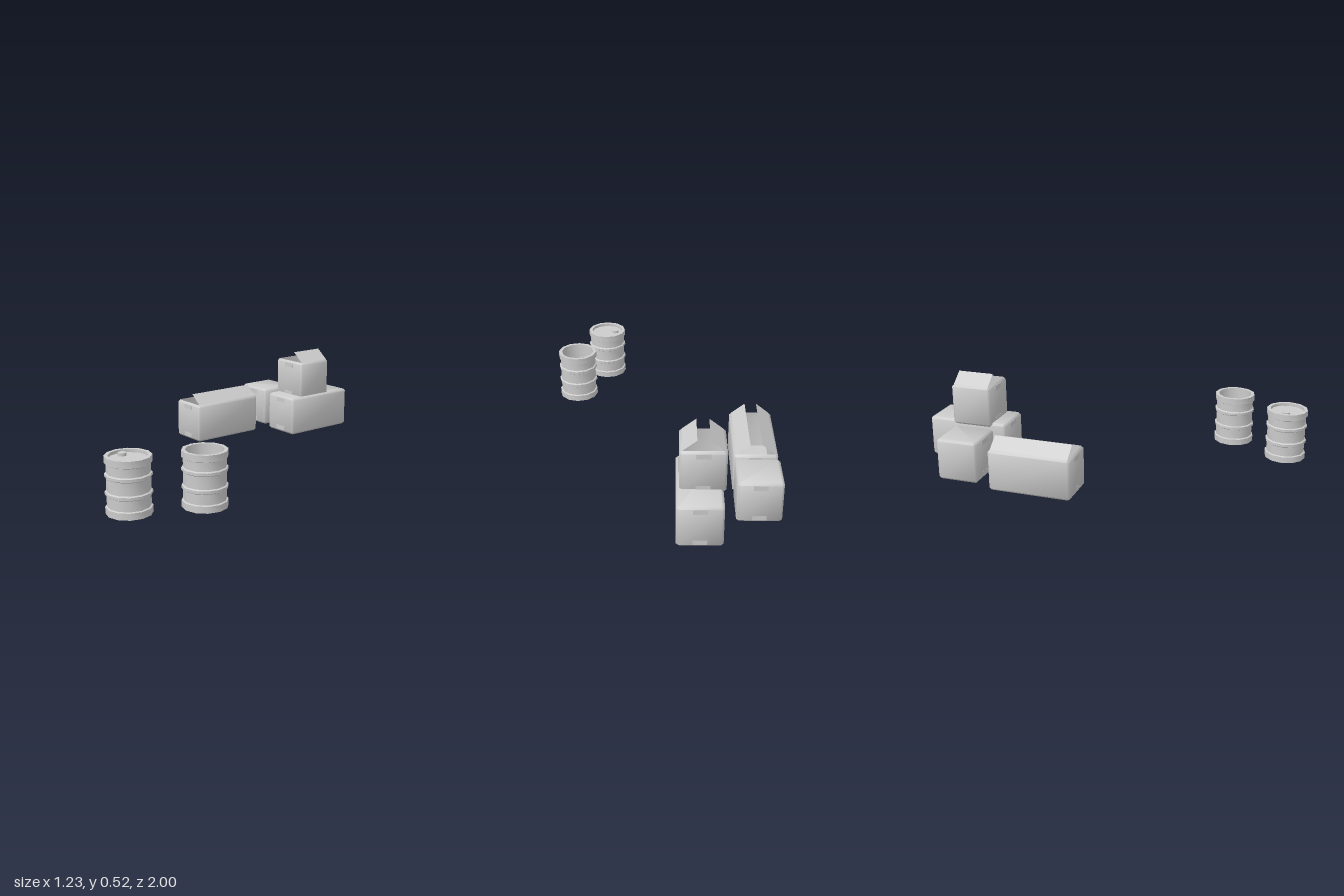
import * as THREE from 'three';
import { toCreasedNormals } from 'three/addons/utils/BufferGeometryUtils.js';

const material = new THREE.MeshStandardMaterial({ color: 0xcccccc });
const CHAMFER = 0.012;
const WIDTH = 0.226;

function addMesh(parent, name, geometry, x = 0, y = 0, z = 0) {
  const mesh = new THREE.Mesh(geometry, material);
  mesh.name = name;
  mesh.position.set(x, y, z);
  parent.add(mesh);
  return mesh;
}

// Skins a stack of chamfered rectangles [inset, y] and caps both ends.
function loftBox(width, depth, rings) {
  const positions = [];
  const indices = [];
  const n = 8;
  for (const [inset, y] of rings) {
    const w = width / 2 - inset;
    const d = depth / 2 - inset;
    const c = inset > 0 ? 0.003 : CHAMFER;
    const outline = [
      [-w + c, d], [w - c, d], [w, d - c], [w, -d + c],
      [w - c, -d], [-w + c, -d], [-w, -d + c], [-w, d - c],
    ];
    for (const [x, z] of outline) positions.push(x, y, z);
  }
  for (let i = 0; i < rings.length - 1; i++) {
    for (let j = 0; j < n; j++) {
      const a = i * n + j;
      const b = i * n + (j + 1) % n;
      indices.push(a, b, b + n, a, b + n, a + n);
    }
  }
  const last = (rings.length - 1) * n;
  for (let j = 1; j < n - 1; j++) {
    indices.push(0, j + 1, j);
    indices.push(last, last + j, last + j + 1);
  }
  const geometry = new THREE.BufferGeometry();
  geometry.setAttribute('position', new THREE.Float32BufferAttribute(positions, 3));
  geometry.setIndex(indices);
  return toCreasedNormals(geometry, 0.9);
}

// Cardboard box; an open one gets a hollow inside and two leaning flaps.
function createBox(name, { x, y, z, height, depth, open = false }) {
  const box = new THREE.Group();
  box.name = name;
  box.position.set(x, y, z);

  const rings = [[CHAMFER, 0], [0, CHAMFER], [0, height - CHAMFER], [CHAMFER, height]];
  if (open) rings.push([CHAMFER + 0.001, CHAMFER]);
  addMesh(box, 'boxBody', loftBox(WIDTH, depth, rings));

  // Tape ends folded over the front and back
  for (const side of [-1, 1]) {
    for (const tapeY of [0.026, height - 0.026]) {
      addMesh(box, 'tapeEnd', new THREE.BoxGeometry(0.07, 0.026, 0.002), 0, tapeY, side * depth / 2);
    }
  }

  if (open) {
    const run = 0.07;
    const rise = 0.056;
    const length = Math.hypot(run, rise);
    for (const side of [-1, 1]) {
      const flap = new THREE.PlaneGeometry(depth - 2 * CHAMFER, length);
      flap.translate(0, length / 2, 0);
      flap.rotateX(-Math.atan2(run, rise));
      flap.rotateY(side * Math.PI / 2);
      addMesh(box, side > 0 ? 'leftFlap' : 'rightFlap', flap, side * (WIDTH / 2 - CHAMFER), height, 0);
    }
  }
  return box;
}

// Ribbed drum, either open or closed with a recessed lid and a bung.
function createBarrel(name, { x, y, z, open }) {
  const barrel = new THREE.Group();
  barrel.name = name;
  barrel.position.set(x, y, z);

  const wide = 0.114;
  const body = 0.106;
  const inner = 0.095;
  const top = 0.285;
  const floor = open ? 0.015 : top - 0.016;
  const profile = [[0, 0], [wide, 0], [wide, 0.034], [body, 0.038]];
  for (const rib of [0.103, 0.191]) {
    profile.push([body, rib - 0.012], [wide, rib - 0.007], [wide, rib + 0.007], [body, rib + 0.012]);
  }
  profile.push([body, 0.247], [wide, 0.251], [wide, top], [inner, top], [inner, floor], [0, floor]);

  const points = profile.map(([r, h]) => new THREE.Vector2(r, h));
  addMesh(barrel, 'barrelShell', toCreasedNormals(new THREE.LatheGeometry(points, 12), 0.6));

  if (!open) {
    addMesh(barrel, 'bung', new THREE.CylinderGeometry(0.021, 0.021, 0.015, 10), -0.053, floor + 0.0075, 0);
  }
  return barrel;
}

export function createModel() {
  const model = new THREE.Group();
  model.name = 'boxesAndBarrels';
  model.add(
    createBox('longOpenBox', { x: -0.504, y: 0.005, z: -0.288, height: 0.224, depth: 0.452, open: true }),
    createBox('smallClosedBox', { x: -0.504, y: 0.03, z: -0.692, height: 0.226, depth: 0.226 }),
    createBox('longClosedBox', { x: -0.208, y: 0.03, z: -0.774, height: 0.226, depth: 0.452 }),
    createBox('stackedOpenBox', { x: -0.222, y: 0.236, z: -0.738, height: 0.226, depth: 0.226, open: true }),
    createBarrel('closedBarrel', { x: 0.341, y: 0, z: 0.884, open: false }),
    createBarrel('openBarrel', { x: 0.501, y: 0.005, z: 0.556, open: true }),
  );
  return model;
}
